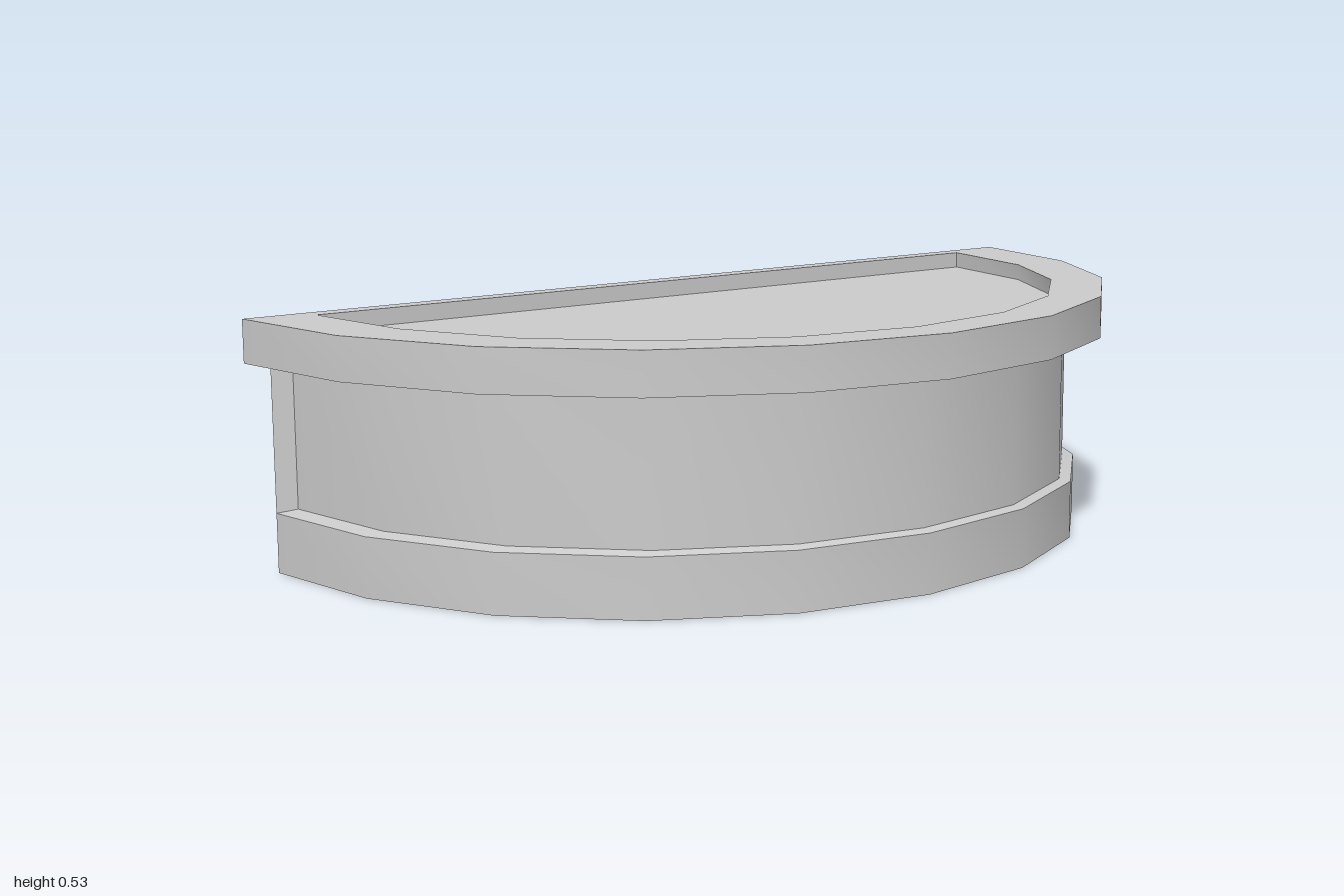
import * as THREE from 'three';
import { toCreasedNormals } from 'three/addons/utils/BufferGeometryUtils.js';

const SEGMENTS = 10;
const BACK = -0.5; // x of the flat back

// Half-round cross-section; an optional end corner carries the outline to the back plane
function ring(y, r, cx = BACK, corner = null) {
  const pts = [];
  for (let i = 0; i <= SEGMENTS; i++) {
    const a = -Math.PI / 2 + (Math.PI * i) / SEGMENTS;
    pts.push(new THREE.Vector3(cx + r * Math.cos(a), y, r * Math.sin(a)));
  }
  const end = (s, p) => (corner ? new THREE.Vector3(BACK, corner.y, s * corner.z) : p.clone());
  return [end(-1, pts[0]), ...pts, end(1, pts[SEGMENTS])];
}

// Skin between successive cross-sections, leaving out collapsed triangles
function loft(name, rings, material) {
  const pos = [];
  const tri = new THREE.Triangle();
  const add = (a, b, c) => {
    if (tri.set(a, b, c).getArea() > 1e-7) for (const p of [a, b, c]) pos.push(p.x, p.y, p.z);
  };
  for (let k = 0; k < rings.length - 1; k++) {
    const lo = rings[k], hi = rings[k + 1], n = lo.length;
    for (let i = 0; i < n; i++) {
      const j = (i + 1) % n;
      add(lo[i], hi[i], hi[j]);
      add(lo[i], hi[j], lo[j]);
    }
  }
  const geometry = new THREE.BufferGeometry();
  geometry.setAttribute('position', new THREE.Float32BufferAttribute(pos, 3));
  const mesh = new THREE.Mesh(toCreasedNormals(geometry, 0.5), material);
  mesh.name = name;
  return mesh;
}

export function createModel() {
  const group = new THREE.Group();
  group.name = 'halfRoundPlinth';
  const material = new THREE.MeshStandardMaterial({ color: 0xcccccc });
  const R = 0.943;

  // Base band with closed underside
  group.add(loft('base', [ring(0, 0, -0.2), ring(0, R), ring(0.125, R)], material));

  // Wall recessed between bevelled edges, including the sloped end strips
  group.add(loft('recessedWall', [
    ring(0.125, R),
    ring(0.132, 0.904, -0.48, { y: 0.125, z: R }),
    ring(0.437, 0.904, -0.48, { y: 0.44, z: R }),
    ring(0.44, R),
  ], material));

  // Overhanging slab with a raised rim around a sunken top
  group.add(loft('topSlab', [
    ring(0.44, R),
    ring(0.44, 1),
    ring(0.53, 1),
    ring(0.53, 0.857, -0.46),
    ring(0.495, 0.857, -0.46),
    ring(0.495, 0, -0.2),
  ], material));

  return group;
}
